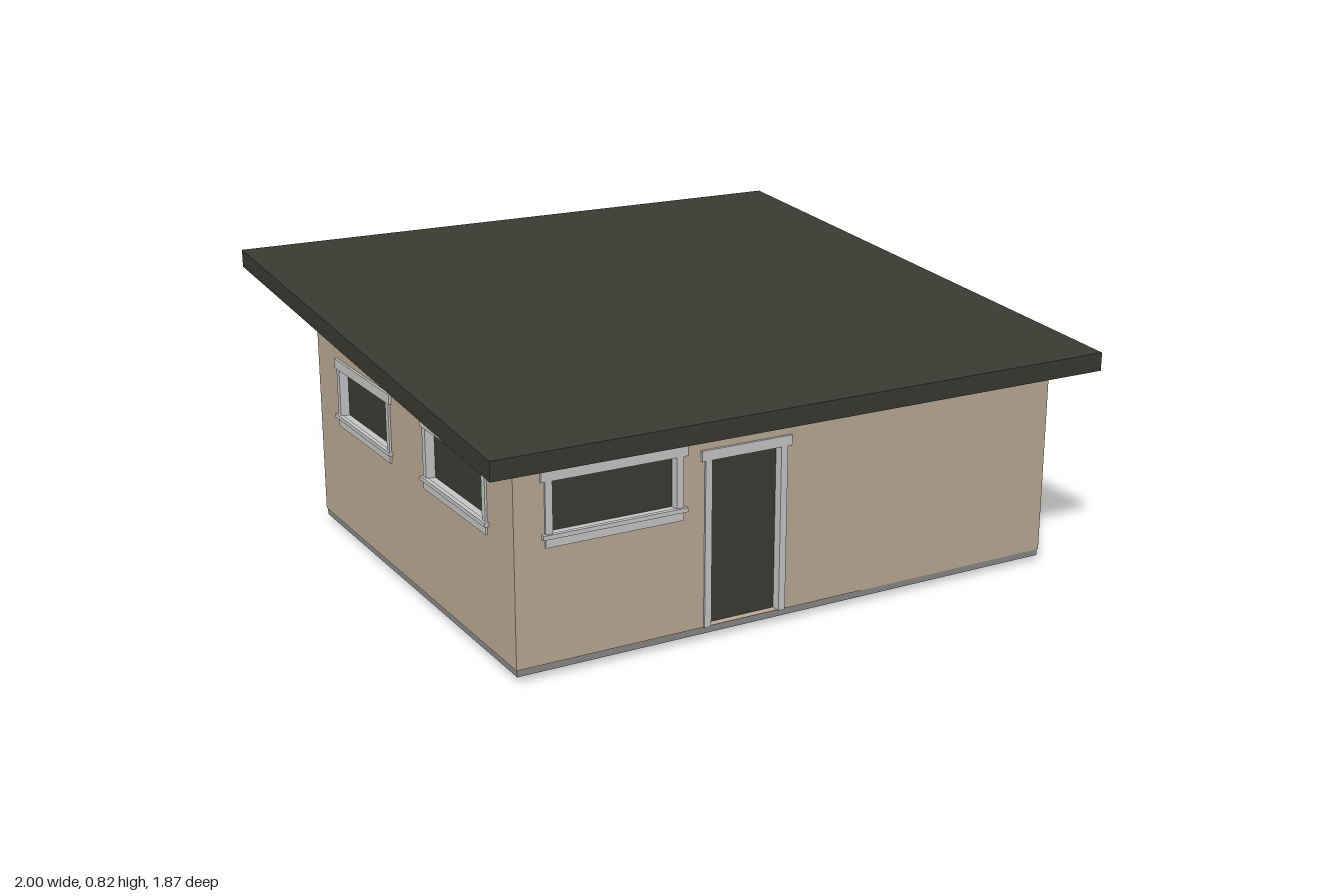
import * as THREE from 'three';

const mat = (name, color) => {
  const m = new THREE.MeshStandardMaterial({ color });
  m.name = name;
  return m;
};
const stucco = mat('beige wall', 0xbcab94);
const dark = mat('dark roof', 0x3a3a33);
const glass = mat('dark glass', 0x3b3c34);
const trim = mat('light grey trim', 0xc6c8c6);
const concrete = mat('concrete grey', 0x898989);
const wood = mat('wood', 0xa0734f);
const cableGrey = mat('cable', 0x3c3c3c);

// Box given by its min and max corners
function block(parent, name, material, x0, x1, y0, y1, z0, z1) {
  const m = new THREE.Mesh(new THREE.BoxGeometry(x1 - x0, y1 - y0, z1 - z0), material);
  m.position.set((x0 + x1) / 2, (y0 + y1) / 2, (z0 + z1) / 2);
  m.name = name;
  parent.add(m);
  return m;
}

// House extents and roof underside
const L = -0.89, R = 0.86, F = 0.83, B = -0.57, BASE = 0.04, T = 0.04;
const under = z => 0.615 + (0.935 - z) * 0.083;

// Wall in local axes: x along the wall, y up, z outward; openings are cut through
function wall(name, u0, u1, top0, top1, openings) {
  const g = new THREE.Group();
  g.name = name;
  const s = new THREE.Shape([[u0, BASE], [u1, BASE], [u1, top1], [u0, top0]].map(p => new THREE.Vector2(...p)));
  for (const o of openings) {
    const [a, b, c, d] = [o.x0 - 0.008, o.x1 + 0.008, Math.max(o.y0 - 0.008, BASE + 0.001), o.y1 + 0.008];
    s.holes.push(new THREE.Path([[a, c], [a, d], [b, d], [b, c]].map(p => new THREE.Vector2(...p))));
  }
  const geo = new THREE.ExtrudeGeometry(s, { depth: T, bevelEnabled: false });
  geo.translate(0, 0, -T);
  const m = new THREE.Mesh(geo, stucco);
  m.name = name + 'Panel';
  g.add(m);
  openings.forEach(o => addOpening(g, o));
  return g;
}

// Recessed pane with casing, header and, for windows, sill and apron
function addOpening(g, { x0, x1, y0, y1, door, band }) {
  const c = 0.021, back = -0.025, out = 0.006;
  block(g, door ? 'doorPanel' : 'windowPane', glass, x0 - 0.008, x1 + 0.008, y0 - (door ? 0 : 0.008), y1 + 0.008, -0.032, -0.022);
  const bottom = door ? y0 : y0 - 0.035;
  for (const [a, b] of [[x0 - c, x0], [x1, x1 + c]]) block(g, 'sideCasing', trim, a, b, bottom, y1, back, out);
  const over = band ? 0 : 0.012, h = band ? 0.018 : 0.03;
  block(g, 'header', trim, x0 - c - over, x1 + c + over, y1, y1 + h, back, out + 0.002);
  if (!door) {
    block(g, 'apron', trim, x0, x1, bottom, y0, back, out);
    block(g, 'sill', trim, x0 - c - 0.01, x1 + c + 0.01, y0 - 0.01, y0 + 0.002, 0, 0.013);
  }
  if (band) block(g, 'windowBand', stucco, x0, x1, band[0], band[1], back, 0.001);
}

export function createModel() {
  const model = new THREE.Group();
  model.name = 'house';

  block(model, 'foundation', concrete, L + 0.003, R - 0.003, 0.02, BASE, B + 0.003, F - 0.003);

  // Front and back walls
  const front = wall('frontWall', L, R, 0.64, 0.64, [
    { x0: -0.78, x1: -0.41, y0: 0.403, y1: 0.55 },
    { x0: -0.3, x1: -0.08, y0: BASE, y1: 0.525, door: true },
  ]);
  front.position.z = F;
  const tall = { y0: 0.25, y1: 0.715, band: [0.55, 0.608] };
  const back = wall('backWall', -R, -L, 0.755, 0.755, [
    { x0: -0.597, x1: -0.292, ...tall },
    { x0: 0.335, x1: 0.64, ...tall },
    { x0: -0.13, x1: 0.17, y0: BASE, y1: 0.525, door: true },
  ]);
  back.position.z = B;
  back.rotation.y = Math.PI;

  // Side walls with tops that follow the roof
  const zf = F - T, zb = B + T, topF = under(zf) + 0.02, topB = under(zb) + 0.02;
  const right = wall('positiveXWall', -zf, -zb, topF, topB, [
    { x0: -0.685, x1: -0.465, y0: 0.44, y1: 0.553 },
    { x0: -0.045, x1: 0.21, y0: 0.295, y1: 0.553 },
  ]);
  right.position.x = R;
  right.rotation.y = Math.PI / 2;
  const left = wall('negativeXWall', zb, zf, topB, topF, [
    { x0: -0.378, x1: -0.008, y0: 0.403, y1: 0.55 },
    { x0: 0.28, x1: 0.65, y0: 0.403, y1: 0.55 },
  ]);
  left.position.x = L;
  left.rotation.y = -Math.PI / 2;
  model.add(front, back, right, left);

  // Sloping slab roof, sheared so its ends stay vertical
  const roof = block(model, 'roof', dark, -1, 0.965, 0, 0.055, -0.935, 0.935);
  const p = roof.geometry.attributes.position;
  for (let i = 0; i < p.count; i++) p.setY(i, p.getY(i) + under(p.getZ(i)));
  roof.geometry.computeVertexNormals();

  // Slatted awning over the back door, hung on two cables
  const awning = new THREE.Group();
  awning.name = 'awning';
  const a0 = -0.272, a1 = 0.225, zo = -0.75;
  for (const x of [a0, (a0 + a1) / 2 - 0.01, a1 - 0.02]) block(awning, 'rafter', wood, x, x + 0.02, 0.555, 0.577, zo + 0.018, B - 0.018);
  block(awning, 'outerBeam', wood, a0, a1, 0.555, 0.577, zo, zo + 0.018);
  block(awning, 'wallBeam', wood, a0, a1, 0.555, 0.577, B - 0.018, B);
  const slats = 7, pitch = (B - zo) / slats;
  for (let i = 0; i < slats; i++) {
    const z = zo + i * pitch;
    block(awning, 'slat', wood, a0, a1, 0.577, 0.585, z, z + pitch - 0.004);
  }
  for (const x of [a0 + 0.01, a1 - 0.01]) {
    const path = new THREE.LineCurve3(new THREE.Vector3(x, 0.71, B), new THREE.Vector3(x, 0.583, zo + 0.005));
    const cable = new THREE.Mesh(new THREE.TubeGeometry(path, 1, 0.002, 6), cableGrey);
    cable.name = 'awningCable';
    awning.add(cable);
  }
  model.add(awning);

  // Outdoor unit on its pad
  block(model, 'unitPad', concrete, R, 1, 0.003, 0.038, 0.275, 0.43);
  block(model, 'outdoorUnit', trim, R + 0.002, 0.98, 0.038, 0.16, 0.29, 0.412);
  return model;
}
